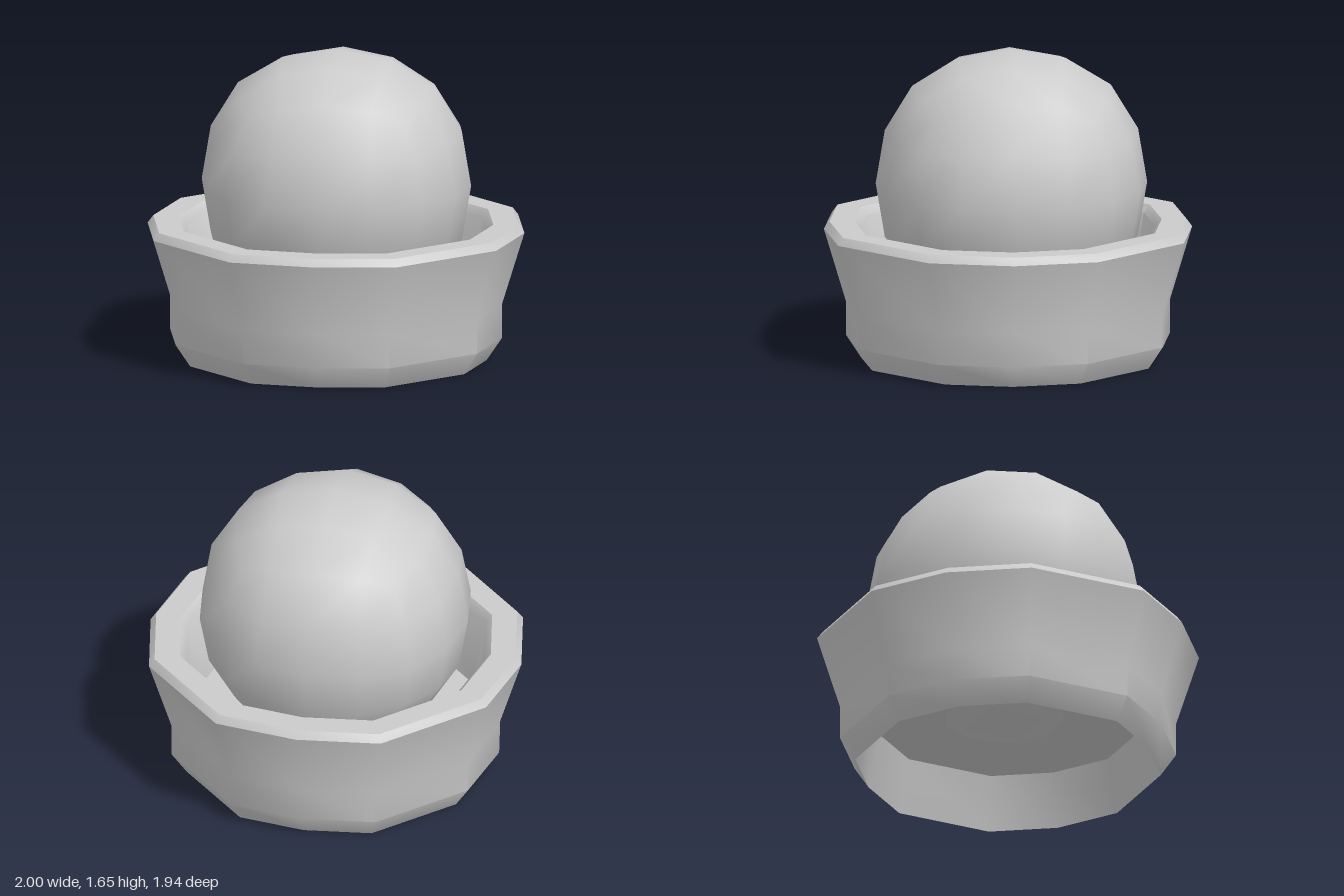
import * as THREE from 'three';
import { mergeVertices, toCreasedNormals } from 'three/addons/utils/BufferGeometryUtils.js';

const material = new THREE.MeshStandardMaterial({ color: 0xcccccc });

// Twelve-sided cup: a lathe whose corners are moved to a slightly squared plan
function makeCup() {
  const profile = [
    [0.1, 0.29], [0.73, 0.29], [0.8, 0], // recessed underside
    [0.88, 0.12], [0.88, 0.3], [1, 0.69], // outer wall
    [0.97, 0.73], [0.835, 0.73], [0.8, 0.69], // bevelled rim
    [0.72, 0.33], [0.1, 0.33], // inner wall and floor
  ].map(([r, y]) => new THREE.Vector2(r, y));
  const plan = [[0, 0.97], [0.444, 0.91], [0.909, 0.446], [1, 0]];

  const geometry = new THREE.LatheGeometry(profile, 12);
  const p = geometry.attributes.position;
  for (let i = 0; i < p.count; i++) {
    const x = p.getX(i), z = p.getZ(i), r = Math.hypot(x, z);
    const corner = Math.round(Math.atan2(Math.abs(x), Math.abs(z)) / (Math.PI / 6));
    p.setX(i, Math.sign(x) * r * plan[corner][0]);
    p.setZ(i, Math.sign(z) * r * plan[corner][1]);
  }
  const mesh = new THREE.Mesh(toCreasedNormals(geometry, 0.75), material);
  mesh.name = 'cup';
  return mesh;
}

// Ball: a 4 x 4 x 4 box rounded like a twice-subdivided cube
function makeBall() {
  // New coordinates keyed by the sorted sizes of the box grid coordinates
  const rounded = {
    '0,0,2': [0, 0, 0.715],
    '0,1,2': [0, 0.286, 0.667],
    '0,2,2': [0, 0.523, 0.523],
    '1,1,2': [0.266, 0.266, 0.622],
    '1,2,2': [0.246, 0.488, 0.488],
    '2,2,2': [0.415, 0.415, 0.415],
  };
  let geometry = new THREE.BoxGeometry(4, 4, 4, 4, 4, 4);
  geometry.deleteAttribute('normal');
  geometry.deleteAttribute('uv');
  geometry = mergeVertices(geometry);
  const p = geometry.attributes.position;
  for (let i = 0; i < p.count; i++) {
    const v = [p.getX(i), p.getY(i), p.getZ(i)].map(Math.round);
    const sizes = v.map(Math.abs);
    const sorted = [...sizes].sort();
    const target = rounded[sorted.join()];
    p.setXYZ(i, ...v.map((c, k) => Math.sign(c) * target[sorted.indexOf(sizes[k])]));
  }
  geometry.computeVertexNormals();
  const mesh = new THREE.Mesh(geometry, material);
  mesh.name = 'ball';
  mesh.position.set(0, 0.933, -0.018);
  return mesh;
}

export function createModel() {
  const model = new THREE.Group();
  model.name = 'ballInCup';
  model.add(makeCup(), makeBall());
  return model;
}
